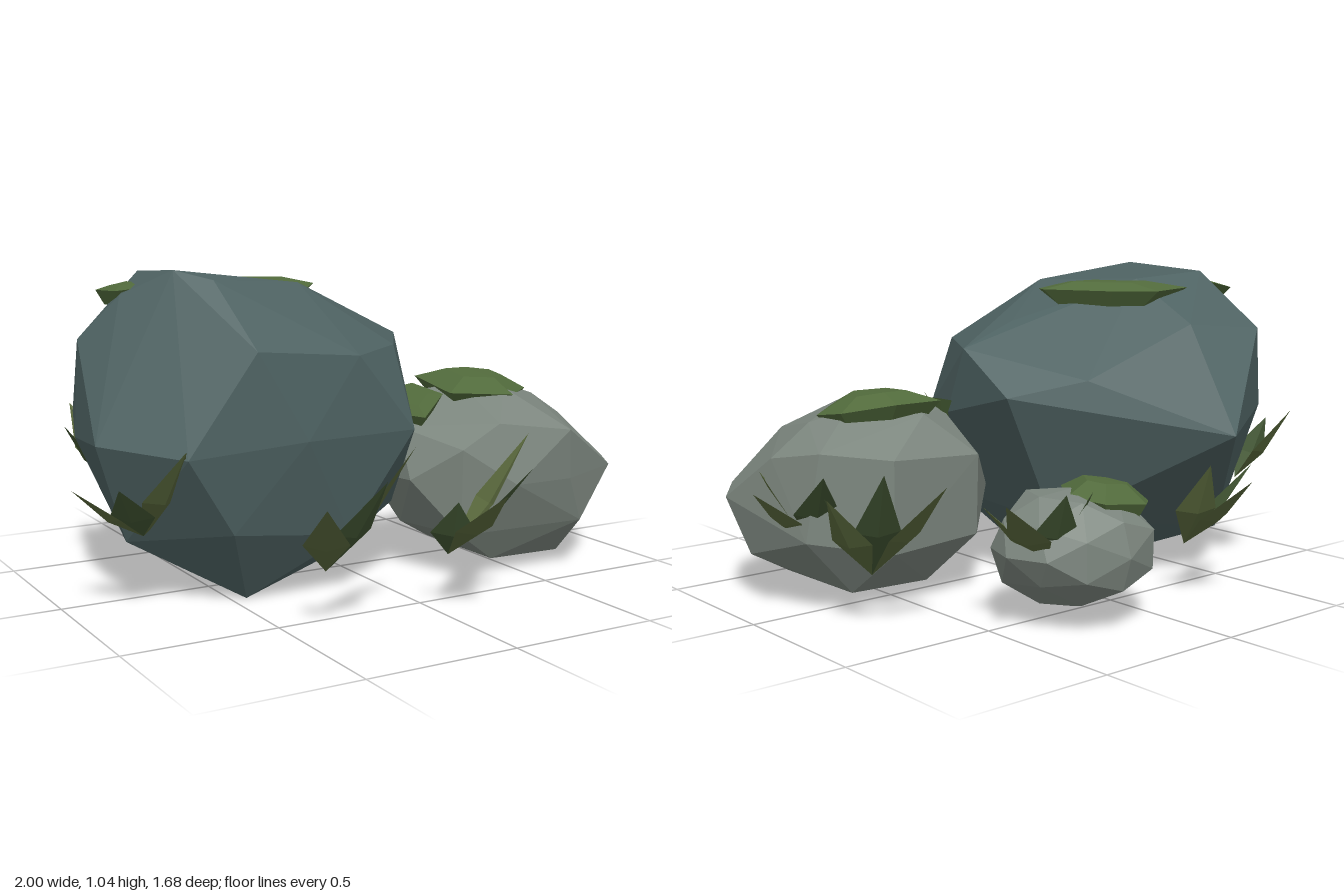
import * as THREE from 'three';
import { ConvexGeometry } from 'three/addons/geometries/ConvexGeometry.js';

const V = (a) => new THREE.Vector3(...a);
const mat = (color, side = THREE.FrontSide) =>
  new THREE.MeshStandardMaterial({ color, flatShading: true, side });

const slate = mat(0x4e6262), stone = mat(0x7c867e), moss = mat(0x526b3c);
const grass = [0x5c6b3e, 0x435734].map((c) => mat(c, THREE.DoubleSide));

// Faceted convex solid from corner points
function hull(name, points, material) {
  const m = new THREE.Mesh(new ConvexGeometry(points.map(V)), material);
  m.name = name;
  return m;
}

// Moss cap: rim of points, slightly domed above and tapering into the rock below
function mossCap(name, rim, rise, depth) {
  const c = rim.reduce((s, p) => s.add(V(p)), new THREE.Vector3()).divideScalar(rim.length);
  const ring = (k, dy) => rim.map((p) => V(p).lerp(c, k).add(new THREE.Vector3(0, dy, 0)).toArray());
  return hull(name, [...rim, ...ring(0.5, rise), ...ring(0.3, -depth)], moss);
}

// Folded diamond leaf from base to tip
function leaf(base, tip, width, material) {
  const b = V(base), t = V(tip), axis = t.clone().sub(b);
  const side = new THREE.Vector3().crossVectors(axis, new THREE.Vector3(0, 1, 0)).normalize();
  const out = new THREE.Vector3().crossVectors(side, axis).normalize();
  const mid = b.clone().addScaledVector(axis, 0.45);
  const l = mid.clone().addScaledVector(side, -width / 2);
  const r = mid.clone().addScaledVector(side, width / 2);
  const m = mid.addScaledVector(out, -width * 0.15);
  const g = new THREE.BufferGeometry().setFromPoints([b, m, l, l, m, t, b, r, m, m, r, t]);
  g.computeVertexNormals();
  const mesh = new THREE.Mesh(g, material);
  mesh.name = 'grassLeaf';
  return mesh;
}

export function createModel() {
  const root = new THREE.Group();
  root.name = 'rockCluster';

  // Large boulder, from its crown down to its foot
  root.add(hull('largeBoulder', [
    [-0.63, 1.04, 0.06], [-0.53, 1.01, 0.14], [-0.6, 1.02, -0.31], [-0.33, 1.0, -0.27], [-0.2, 0.99, 0.07],
    [-0.76, 0.96, -0.06], [0.08, 0.87, -0.11],
    [-0.5, 0.81, 0.38], [-0.15, 0.78, 0.38], [0.06, 0.79, 0.24], [0.275, 0.79, -0.1],
    [0.05, 0.7, -0.44], [-0.35, 0.86, -0.5], [-0.6, 0.84, -0.57], [-0.87, 0.82, -0.15],
    [-0.34, 0.53, 0.4], [-0.72, 0.5, 0.36], [0.06, 0.53, 0.37], [-0.91, 0.52, 0.1], [0.25, 0.57, 0.02],
    [0.27, 0.65, -0.31], [-0.33, 0.52, -0.72], [-0.87, 0.5, -0.2], [-0.8, 0.55, -0.42],
    [-0.56, 0.25, 0.33], [-0.15, 0.2, 0.32], [0.08, 0.26, 0.2], [-0.8, 0.2, 0.05], [0.05, 0.22, -0.28],
    [-0.45, 0, 0.18], [-0.3, 0.01, -0.11], [-0.09, 0.07, 0.08], [-0.65, 0.12, -0.36],
  ], slate));

  // Medium rock at the side
  root.add(hull('mediumRock', [
    [0.4, 0.64, 0.1], [0.62, 0.61, 0.05], [0.5, 0.62, 0.25], [0.25, 0.58, 0.05], [0.42, 0.59, -0.08],
    [0.36, 0.53, 0.42], [0.6, 0.5, 0.49], [0.72, 0.57, 0.12], [0.88, 0.48, 0.08], [0.82, 0.51, -0.1],
    [0.62, 0.48, -0.2], [0.28, 0.46, -0.18], [0.14, 0.5, 0.15], [0.23, 0.45, 0.4],
    [0.94, 0.34, 0.26], [0.83, 0.35, 0.42], [0.11, 0.34, 0.27], [0.12, 0.32, -0.02], [0.4, 0.33, 0.47],
    [0.62, 0.33, 0.47], [0.89, 0.16, 0.2], [0.86, 0.24, -0.08], [0.62, 0.19, -0.2], [0.28, 0.2, -0.17],
    [0.24, 0.16, 0.38], [0.7, 0.17, 0.43], [0.18, 0.16, 0.1], [0.4, 0.05, 0.33], [0.68, 0.045, 0.33],
    [0.68, 0.05, -0.05], [0.4, 0.045, -0.06],
  ], stone));

  // Small rock behind: a jittered icosphere
  const ico = new THREE.IcosahedronGeometry(1, 1).attributes.position;
  const small = [];
  for (let i = 0; i < ico.count; i++) {
    const p = new THREE.Vector3().fromBufferAttribute(ico, i);
    const k = 0.98 + 0.06 * Math.sin(p.x * 7.1 + p.y * 11.3 + p.z * 5.7);
    small.push([0.215 + p.x * 0.262 * k, 0.23 + p.y * 0.188 * k, -0.56 + p.z * 0.24 * k]);
  }
  root.add(hull('smallRock', small, stone));

  // Moss caps
  root.add(
    mossCap('boulderMoss', [[-0.47, 0.97, -0.37], [-0.29, 0.965, -0.41], [-0.17, 0.965, -0.32],
      [-0.02, 0.97, -0.15], [-0.17, 0.96, 0.05], [-0.3, 0.97, -0.05]], 0.025, 0.06),
    mossCap('boulderSideMoss', [[-0.74, 0.96, -0.33], [-0.61, 0.98, -0.37], [-0.66, 0.99, -0.15],
      [-0.7, 0.985, 0.0], [-0.76, 0.97, -0.1]], 0.01, 0.05),
    mossCap('mediumRockMoss', [[0.36, 0.63, -0.09], [0.53, 0.63, -0.09], [0.69, 0.61, -0.02],
      [0.69, 0.59, 0.12], [0.5, 0.6, 0.3], [0.3, 0.61, 0.22]], 0.04, 0.07),
    mossCap('mediumRockSideMoss', [[0.2, 0.6, -0.03], [0.29, 0.62, 0.0], [0.27, 0.61, 0.22],
      [0.18, 0.54, 0.25], [0.15, 0.54, 0.13]], 0.01, 0.05),
    mossCap('smallRockMoss', [[0.0, 0.35, -0.66], [0.08, 0.36, -0.73], [0.24, 0.38, -0.72],
      [0.28, 0.39, -0.6], [0.18, 0.39, -0.46], [0.02, 0.36, -0.5]], 0.05, 0.07),
  );

  // Grass tufts: a base followed by the leaf tips
  const tufts = [
    [[-0.34, 0.15, 0.5], [-0.47, 0.4, 0.74], [-0.29, 0.47, 0.77], [-0.14, 0.54, 0.68]],
    [[0.07, 0.16, 0.55], [0.08, 0.4, 0.84], [0.24, 0.45, 0.75], [0.33, 0.53, 0.61], [0.01, 0.36, 0.69]],
    [[-0.77, 0.23, 0.12], [-1.0, 0.4, 0.13], [-0.91, 0.42, 0.29], [-0.73, 0.53, 0.37]],
    [[-0.68, 0.3, -0.42], [-0.75, 0.55, -0.6], [-0.83, 0.5, -0.43]],
    [[-0.25, 0.16, -0.58], [-0.27, 0.4, -0.84], [-0.42, 0.42, -0.71], [-0.18, 0.45, -0.75]],
    [[0.36, 0.2, -0.6], [0.6, 0.42, -0.7], [0.43, 0.44, -0.76], [0.53, 0.38, -0.51], [0.27, 0.42, -0.7]],
    [[0.72, 0.15, -0.22], [0.65, 0.45, -0.5], [0.83, 0.5, -0.45], [0.93, 0.42, -0.31], [0.87, 0.4, -0.2]],
    [[0.78, 0.22, 0.02], [1.0, 0.4, -0.02], [0.87, 0.46, -0.2], [0.91, 0.44, 0.1]],
  ];
  for (const [base, ...tips] of tufts) {
    const tuft = new THREE.Group();
    tuft.name = 'grassTuft';
    tips.forEach((tip, i) => tuft.add(leaf(base, tip, 0.14, grass[i % 2])));
    root.add(tuft);
  }
  return root;
}
